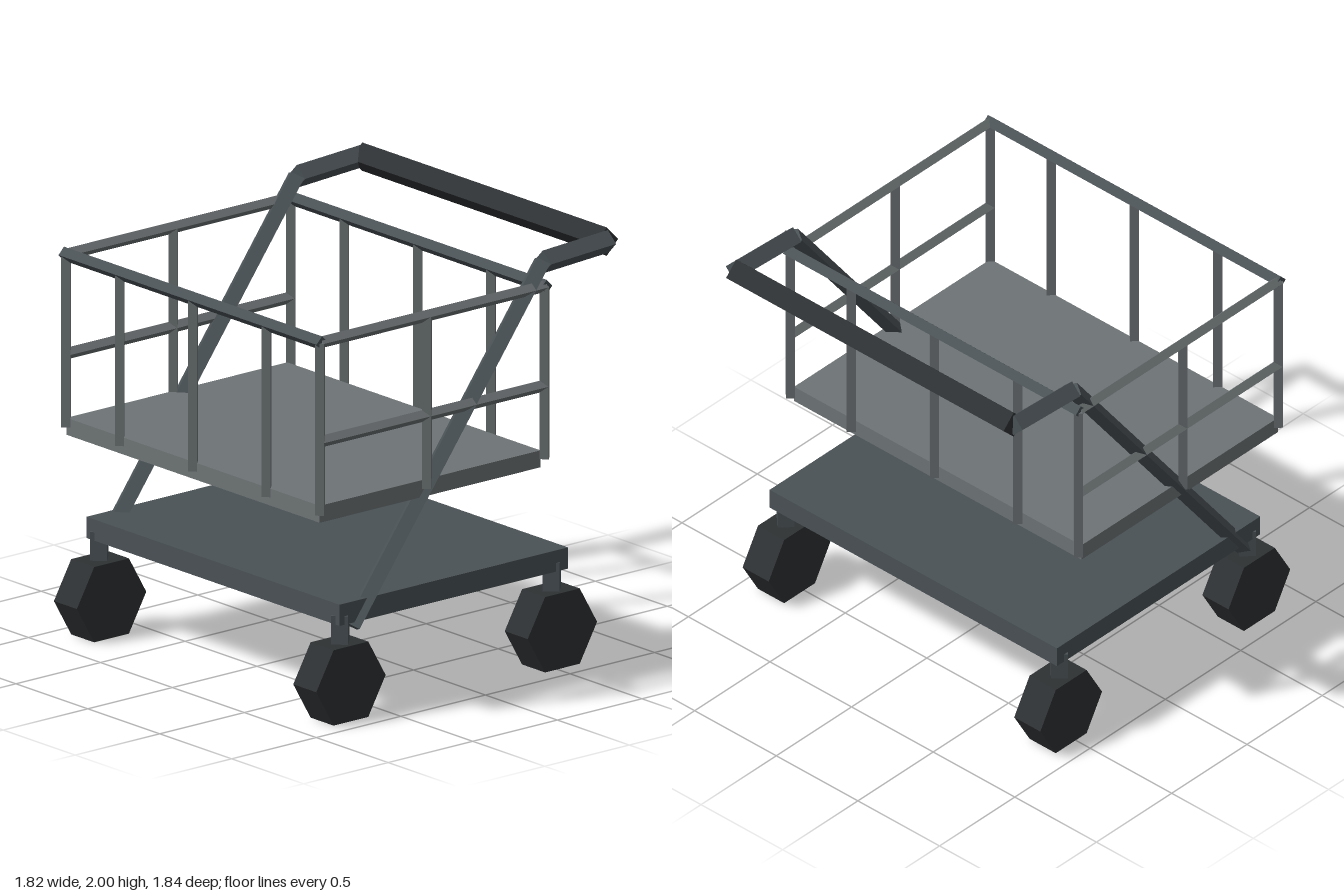
import * as THREE from 'three';

const material = (color) => new THREE.MeshStandardMaterial({ color, flatShading: true });

export function createModel() {
  const root = new THREE.Group();
  const light = material(0x6e7476);
  const dark = material(0x4a5256);
  const black = material(0x2e3133);
  const up = new THREE.Vector3(0, 1, 0);

  const add = (name, geometry, mat, x, y, z) => {
    const mesh = new THREE.Mesh(geometry, mat);
    mesh.name = name;
    mesh.position.set(x, y, z);
    root.add(mesh);
    return mesh;
  };

  // Four-sided bar, set on edge, between two points; depth squashes its section
  const bar = (name, from, to, radius, mat, depth = 1) => {
    const a = new THREE.Vector3(...from);
    const b = new THREE.Vector3(...to);
    const dir = b.clone().sub(a);
    const mid = a.add(b).multiplyScalar(0.5);
    const mesh = add(name, new THREE.CylinderGeometry(radius, radius, dir.length(), 4), mat, mid.x, mid.y, mid.z);
    mesh.quaternion.setFromUnitVectors(up, dir.normalize());
    mesh.scale.z = depth;
    return mesh;
  };

  // Lower deck and basket floor
  add('lowerDeck', new THREE.BoxGeometry(1.76, 0.1, 1.35), dark, 0, 0.5, 0.085);
  add('basketFloor', new THREE.BoxGeometry(1.76, 0.08, 1.305), light, 0, 1.0, 0.225);

  // Hexagonal wheels on stems
  const wheelGeometry = new THREE.CylinderGeometry(0.205, 0.205, 0.16, 6).rotateZ(Math.PI / 2);
  for (const x of [-1, 1]) {
    for (const z of [0.72, -0.53]) {
      add('wheel', wheelGeometry, black, x * 0.832, 0.178, z);
      bar('wheelStem', [x * 0.838, 0.25, z], [x * 0.838, 0.49, z], 0.054, dark);
    }
  }

  // Basket: front and back rails with their posts
  const front = 0.878, back = -0.45, side = 0.882, top = 1.81;
  for (const z of [front, back]) {
    bar('endTopRail', [-side - 0.015, top, z], [side + 0.015, top, z], 0.033, dark);
    for (const x of [-side, -0.51, 0, 0.51, side]) {
      bar('basketPost', [x, 1.0, z], [x, top, z], 0.029, light);
    }
  }

  // Basket sides: top rail, middle rail and middle post
  for (const s of [-1, 1]) {
    const x = s * side;
    bar('sideTopRail', [x, top, front], [x, top, back], 0.028, light);
    bar('sideMiddleRail', [x, 1.342, front], [x, 1.342, back], 0.028, light);
    bar('sidePost', [x, 1.0, 0.245], [x, top, 0.245], 0.029, light);

    // Sloping push bar and its level arm
    const h = s * 0.855;
    bar('pushBar', [h, 0.424, 0.666], [h, 1.92, -0.46], 0.054, dark, 0.7);
    bar('handleArm', [h, 1.915, -0.465], [h, 1.935, -0.85], 0.054, dark);
  }

  // Cross grip
  bar('grip', [-0.85, 1.933, -0.845], [0.85, 1.933, -0.845], 0.067, black);

  return root;
}
